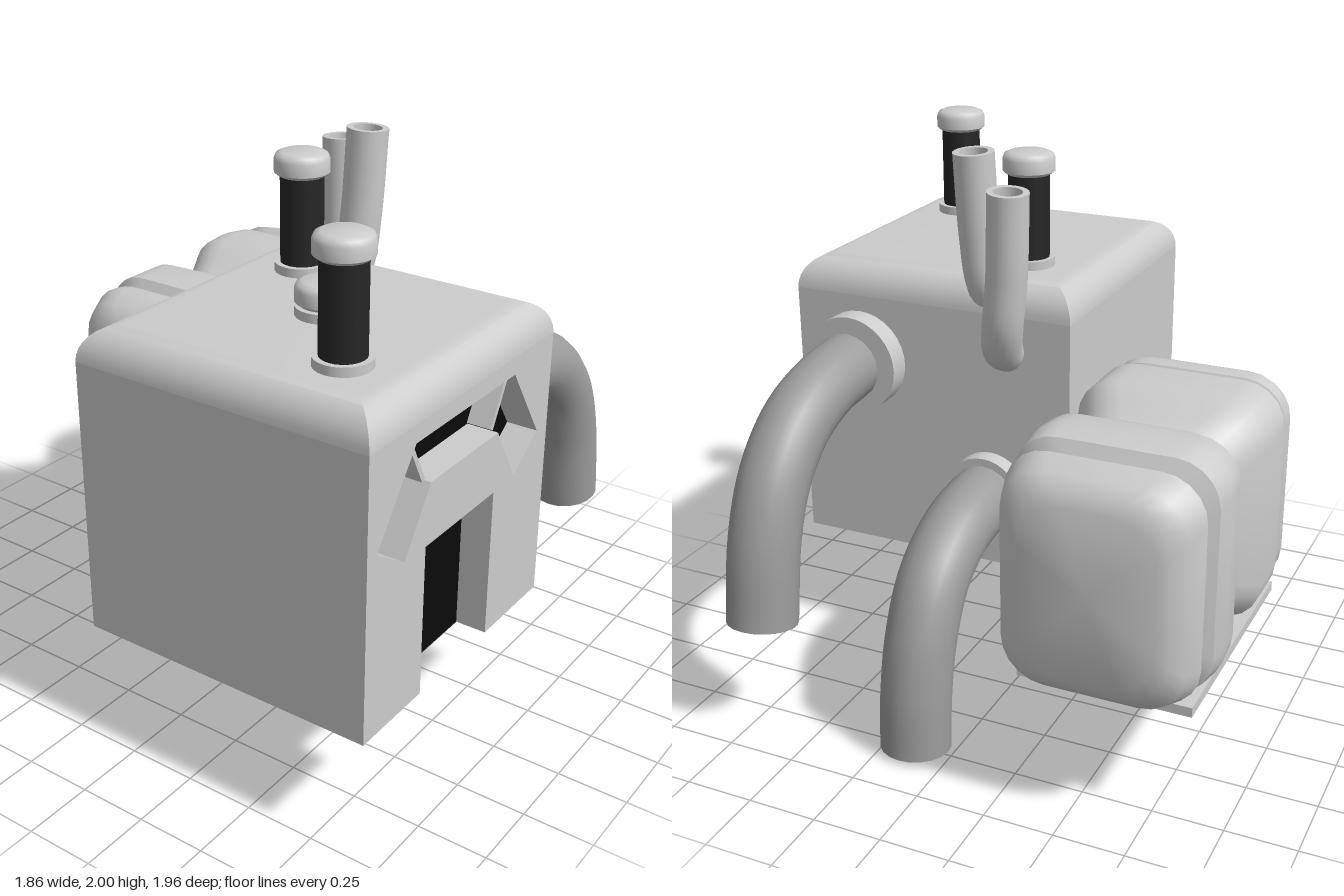
import * as THREE from 'three';
import { toCreasedNormals } from 'three/addons/utils/BufferGeometryUtils.js';

const V = (x, y, z) => new THREE.Vector3(x, y, z);
const mat = (name, color) => {
  const m = new THREE.MeshStandardMaterial({ color });
  m.name = name;
  return m;
};

// Skin a stack of equal-length rings and close both ends
function loft(rings, crease) {
  const n = rings[0].length, pos = [], idx = [];
  rings.forEach(r => r.forEach(p => pos.push(p.x, p.y, p.z)));
  for (let i = 0; i < rings.length - 1; i++) for (let j = 0; j < n; j++) {
    const k = (j + 1) % n, a = i * n + j, b = i * n + k;
    idx.push(a, b, b + n, a, b + n, a + n);
  }
  [rings[0], rings[rings.length - 1]].forEach((r, e) => {
    const c = r.reduce((s, p) => s.add(p), V(0, 0, 0)).divideScalar(n);
    const ci = pos.length / 3, base = e ? (rings.length - 1) * n : 0;
    pos.push(c.x, c.y, c.z);
    for (let j = 0; j < n; j++) {
      const a = base + j, b = base + (j + 1) % n;
      e ? idx.push(ci, a, b) : idx.push(ci, b, a);
    }
  });
  const g = new THREE.BufferGeometry();
  g.setAttribute('position', new THREE.Float32BufferAttribute(pos, 3));
  g.setIndex(idx);
  return toCreasedNormals(g, crease);
}

// Side-panel outlines are given as [z, y] and extruded along +x
const outline = (pts, Kind = THREE.Shape) =>
  new Kind(pts.map(([z, y]) => new THREE.Vector2(-z, y)));
const sidePlate = (shape, x, depth) =>
  new THREE.ExtrudeGeometry(shape, { depth, bevelEnabled: false }).rotateY(Math.PI / 2).translate(x, 0, 0);

export function createModel() {
  const root = new THREE.Group();
  const light = mat('light grey', 0xcccccc), pipeGrey = mat('pipe grey', 0x9c9c9c);
  const dark = mat('dark shaft', 0x262626), black = mat('black glass', 0x0a0a0a);

  const add = (name, geo, m, parent = root) => {
    const mesh = new THREE.Mesh(geo, m);
    mesh.name = name;
    parent.add(mesh);
    return mesh;
  };
  const box = (name, x0, x1, y0, y1, z0, z1, m) =>
    add(name, new THREE.BoxGeometry(x1 - x0, y1 - y0, z1 - z0)
      .translate((x0 + x1) / 2, (y0 + y1) / 2, (z0 + z1) / 2), m);

  // Cabin: core, recessed side wall and rounded roof
  const X0 = -0.175, X1 = 0.93, XR = 0.81, Y0 = 0.435, YR = 1.42, Z0 = -0.12, Z1 = 0.98;
  box('cabinCore', X0, XR, Y0, YR, Z0, Z1, light);
  const roof = [];
  for (let i = 0; i <= 8; i++) {
    const a = i / 8 * Math.PI / 2, d = 0.11 * (1 - Math.cos(a)), y = YR + 0.12 * Math.sin(a);
    roof.push([V(X1 - d, y, Z1 - d), V(X1 - d, y, Z0 + d), V(X0 + d, y, Z0 + d), V(X0 + d, y, Z1 - d)]);
  }
  add('cabinRoof', loft(roof, 0.5), light);

  const wall = outline([[Z1, Y0], [0.655, Y0], [0.655, 0.975], [0.235, 0.975],
    [0.235, Y0], [Z0, Y0], [Z0, YR], [Z1, YR]]);
  wall.holes.push(outline([[0.73, 1.358], [0.135, 1.358], [-0.05, 1.085], [0.1, 0.98],
    [0.228, 1.19], [0.637, 1.19], [0.775, 0.98], [0.93, 1.08]], THREE.Path));
  add('doorWall', sidePlate(wall, XR, X1 - XR), light);

  // Door and the three panes of the window band
  const door = outline([[0.655, Y0], [0.235, Y0], [0.235, 0.975], [0.655, 0.975]]);
  add('door', sidePlate(door, XR, 0.008), black);
  add('centreWindow', sidePlate(outline([[0.73, 1.358], [0.135, 1.358], [0.228, 1.19], [0.637, 1.19]]), XR, 0.008), black);
  for (const s of [1, -1]) {
    const side = [[0.295, 1.355], [0.208, 1.19], [0.335, 0.98], [0.49, 1.082]]
      .map(([z, y]) => [0.4325 + s * z, y]);
    add('sideWindow', sidePlate(outline(s > 0 ? side : side.reverse()), XR, 0.008), black);
    const strut = add('windowStrut', new THREE.BoxGeometry(0.09, 0.185, 0.018), light);
    strut.position.set(0.86, 1.272, 0.4325 + s * 0.251);
    strut.rotation.x = s * 0.487;
  }

  // Studs on the roof: flange, shaft and rounded cap
  const stud = (name, x, z, capY, shaftMat) => {
    const g = new THREE.Group();
    g.name = name;
    g.position.set(x, 0, z);
    root.add(g);
    add('studFlange', new THREE.CylinderGeometry(0.095, 0.095, 0.04, 24).translate(0, 1.552, 0), light, g);
    add('studShaft', new THREE.CylinderGeometry(0.075, 0.075, capY - 1.56, 24)
      .translate(0, (capY + 1.56) / 2, 0), shaftMat, g);
    const profile = [[0, 0], [0.08, 0], [0.095, 0.012], [0.095, 0.055], [0.088, 0.072], [0.07, 0.08], [0, 0.08]]
      .map(p => new THREE.Vector2(...p));
    add('studCap', toCreasedNormals(new THREE.LatheGeometry(profile, 24), 0.8).translate(0, capY, 0), light, g);
  };
  stud('frontStud', 0.67, 0.73, 1.875, dark);
  stud('middleStud', 0.395, 0.435, 1.575, light);
  stud('rearStud', 0.1, 0.143, 1.875, dark);

  // Bent pipes; the far end takes a flat cap or a hollow rim
  const pipe = (name, pts, r, m, hollow = false) => {
    const curve = new THREE.CatmullRomCurve3(pts.map(p => V(...p)));
    const g = new THREE.Group();
    g.name = name;
    root.add(g);
    add('pipeBody', new THREE.TubeGeometry(curve, 32, r, 20), m, g);
    const profile = hollow ? [[r, -0.01], [r, 0], [r * 0.7, 0], [r * 0.7, -0.12], [0, -0.12]] : [[r, 0], [0, 0]];
    const end = add('pipeEnd', toCreasedNormals(new THREE.LatheGeometry(
      profile.map(p => new THREE.Vector2(...p)), 20), 0.6), m, g);
    end.position.copy(curve.getPoint(1));
    end.quaternion.setFromUnitVectors(V(0, 1, 0), curve.getTangent(1));
  };
  pipe('upperRearPipe', [[0.68, 1.17, -0.1], [0.68, 1.168, -0.22], [0.68, 1.145, -0.4], [0.68, 1.075, -0.57],
    [0.68, 0.94, -0.71], [0.68, 0.74, -0.8], [0.68, 0.435, -0.853]], 0.127, pipeGrey);
  pipe('lowerRearPipe', [[0.14, 0.73, -0.1], [0.14, 0.725, -0.25], [0.14, 0.69, -0.42], [0.14, 0.59, -0.58],
    [0.14, 0.42, -0.68], [0.14, 0.22, -0.73], [0.14, 0.008, -0.747]], 0.127, pipeGrey);
  pipe('tallExhaust', [[0.13, 1.4, 0.06], [0.15, 1.43, -0.02], [0.17, 1.52, -0.07], [0.185, 1.7, -0.09],
    [0.195, 1.995, -0.107]], 0.073, light, true);
  pipe('shortExhaust', [[0.08, 1.27, -0.06], [0.07, 1.31, -0.15], [0.04, 1.42, -0.212], [0.015, 1.6, -0.23],
    [0, 1.905, -0.245]], 0.073, light, true);
  pipe('tankHose', [[-0.58, 0.885, 0.27], [-0.575, 0.875, 0.37], [-0.49, 0.82, 0.53], [-0.34, 0.765, 0.62],
    [-0.12, 0.73, 0.655]], 0.068, pipeGrey);

  // Round flanges lying along z
  const flange = (name, x, y, z0, z1, r) =>
    add(name, new THREE.CylinderGeometry(r, r, z1 - z0, 32).rotateX(Math.PI / 2)
      .translate(x, y, (z0 + z1) / 2), light);
  flange('upperPipeFlange', 0.67, 1.175, -0.205, -0.1, 0.185);
  flange('lowerPipeFlange', 0.14, 0.735, -0.185, -0.1, 0.15);
  flange('tankNozzle', -0.58, 0.875, 0.22, 0.305, 0.138);

  // Tank: rounded-rectangle sections with ribs and a waist, as [z, half width]
  const sections = [[-0.95, 0.23], [-0.93, 0.27], [-0.89, 0.31], [-0.8, 0.335], [-0.745, 0.295], [-0.71, 0.345],
    [-0.62, 0.355], [-0.52, 0.35], [-0.42, 0.305], [-0.345, 0.275], [-0.27, 0.305], [-0.18, 0.345],
    [0, 0.345], [0.035, 0.3], [0.06, 0.33], [0.11, 0.335], [0.195, 0.305], [0.235, 0.27], [0.255, 0.23]];
  const ring = (z, w) => {
    const pts = [], h = w + 0.067, r = 0.15;
    for (let c = 0; c < 4; c++) for (let i = 0; i <= 5; i++) {
      const a = (c + i / 5) * Math.PI / 2;
      const sx = c === 0 || c === 3 ? 1 : -1, sy = c < 2 ? 1 : -1;
      pts.push(V(-0.578 + sx * (w - r) + r * Math.cos(a), 0.86 + sy * (h - r) + r * Math.sin(a), z));
    }
    return pts;
  };
  add('tank', loft(sections.map(s => ring(...s)), 0.75), light);

  // Tray under the tank with two slots
  const rect = (Kind, x0, x1, z0, z1) => new Kind([[x0, z0], [x1, z0], [x1, z1], [x0, z1]]
    .map(p => new THREE.Vector2(...p)));
  const tray = rect(THREE.Shape, -0.89, -0.28, -0.8, 0.1);
  for (const z of [-0.72, -0.14]) tray.holes.push(rect(THREE.Path, -0.8, -0.37, z, z + 0.16));
  add('tankTray', new THREE.ExtrudeGeometry(tray, { depth: 0.035, bevelEnabled: false })
    .rotateX(Math.PI / 2).translate(0, 0.468, 0), light);

  return root;
}
